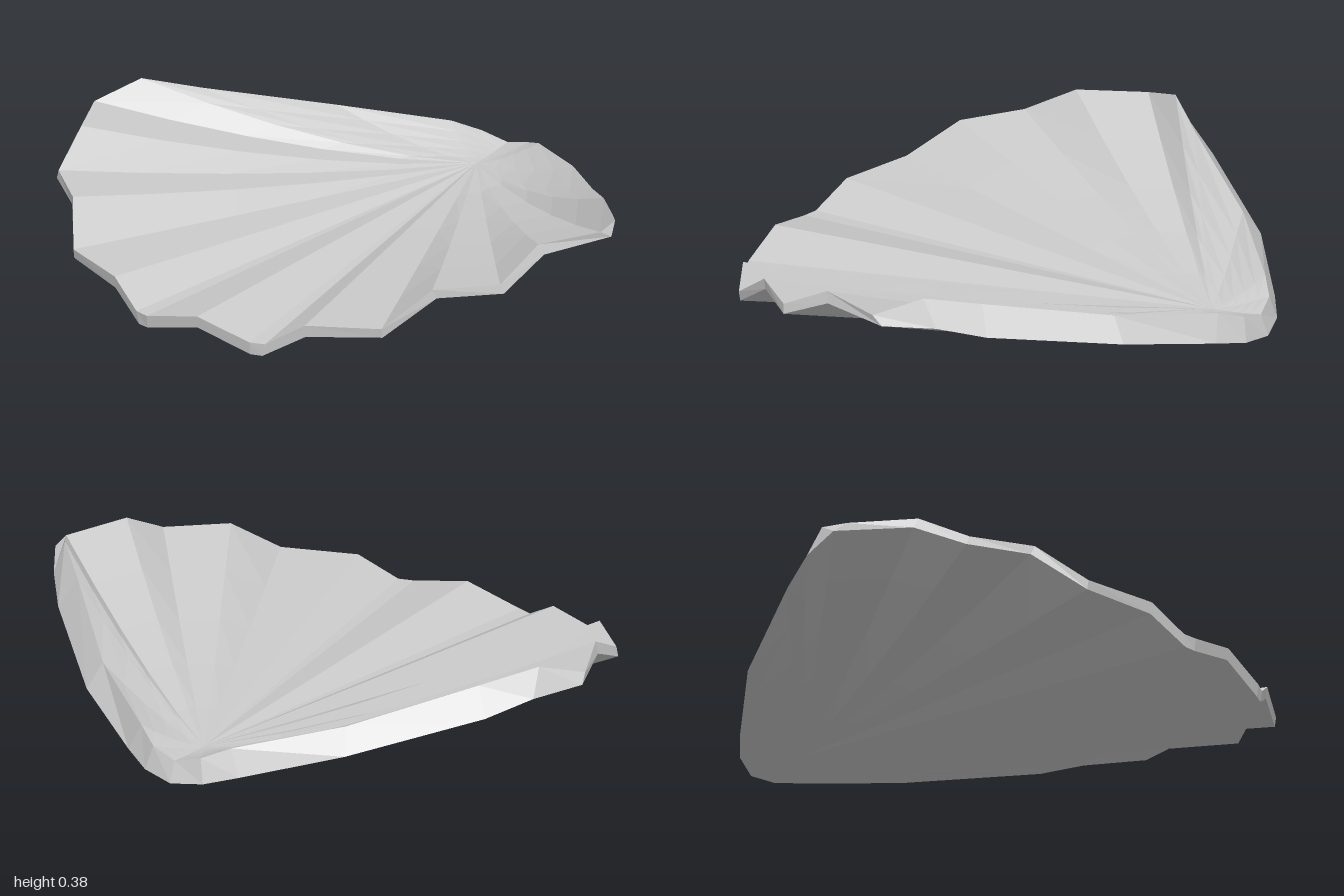
import * as THREE from 'three';

const V = (x, y, z) => new THREE.Vector3(x, y, z);

// Left half of the rim from front centre to back centre: [upper edge, lower edge]
const HALF_RIM = [
  [V(0, 0.09, 0.88), V(0, 0.05, 0.875)],
  [V(0.2, 0.045, 0.875), V(0.2, 0.003, 0.87)],
  [V(0.25, 0.045, 0.86), V(0.24, 0.003, 0.86)],
  [V(0.37, 0.12, 0.81), V(0.37, 0.08, 0.805)],
  [V(0.6, 0.128, 0.71), V(0.6, 0.097, 0.705)],
  [V(0.7, 0.24, 0.57), V(0.71, 0.21, 0.56)],
  [V(0.86, 0.245, 0.42), V(0.87, 0.215, 0.415)],
  [V(0.89, 0.335, 0.25), V(0.905, 0.3, 0.24)],
  [V(0.985, 0.33, 0.04), V(1.0, 0.305, 0)],
  [V(0.9, 0.382, -0.1), V(0.91, 0.29, -0.15)],
  [V(0.76, 0.335, -0.24), V(0.81, 0.245, -0.28)],
  [V(0.46, 0.24, -0.56), V(0.49, 0.16, -0.61)],
  [V(0.17, 0.178, -0.785), V(0.21, 0.09, -0.8)],
  [V(0.09, 0.145, -0.84), V(0.11, 0.065, -0.858)],
  [V(0, 0.12, -0.855), V(0, 0.05, -0.88)],
];

// Full rim loop, mirrored across x = 0
function rimLoop(side) {
  const half = HALF_RIM.map((p) => p[side]);
  const other = half.slice(1, -1).reverse().map((p) => V(-p.x, p.y, p.z));
  return [...half, ...other];
}

// Rings from the hinge point out to the rim; ribs that climb do so in a hollow curve
function fanRings(apex, rim, steps) {
  const rings = [];
  for (let j = 0; j <= steps; j++) {
    const t = j / steps;
    rings.push(rim.map((p) => {
      const q = apex.clone().lerp(p, t);
      const power = p.y > apex.y ? 1.6 : 1;
      q.y = apex.y + (p.y - apex.y) * Math.pow(t, power);
      return q;
    }));
  }
  return rings;
}

// Flat-shaded skin joining consecutive closed rings
function skin(name, rings, material) {
  const pos = [];
  const tri = (a, b, c) => {
    if (a.equals(b) || b.equals(c) || a.equals(c)) return;
    for (const p of [a, b, c]) pos.push(p.x, p.y, p.z);
  };
  for (let j = 0; j < rings.length - 1; j++) {
    const n = rings[j].length;
    for (let i = 0; i < n; i++) {
      const k = (i + 1) % n;
      const a = rings[j][i], b = rings[j + 1][i], c = rings[j + 1][k], d = rings[j][k];
      tri(a, b, c);
      tri(a, c, d);
    }
  }
  const geometry = new THREE.BufferGeometry();
  geometry.setAttribute('position', new THREE.Float32BufferAttribute(pos, 3));
  geometry.computeVertexNormals();
  const mesh = new THREE.Mesh(geometry, material);
  mesh.name = name;
  return mesh;
}

export function createModel() {
  const group = new THREE.Group();
  group.name = 'scallopShell';
  const material = new THREE.MeshStandardMaterial({ color: 0xcccccc, flatShading: true });

  const upper = rimLoop(0);
  const lower = rimLoop(1);

  // Ribbed bowl
  group.add(skin('innerSurface', fanRings(V(0, 0.105, -0.68), upper, 5), material));
  // Edge of the shell, widening to a sloping flange at the back
  group.add(skin('rim', [upper, lower], material));
  // Ribbed underside
  group.add(skin('outerSurface', fanRings(V(0, 0.075, -0.7), lower, 5).reverse(), material));

  return group;
}
